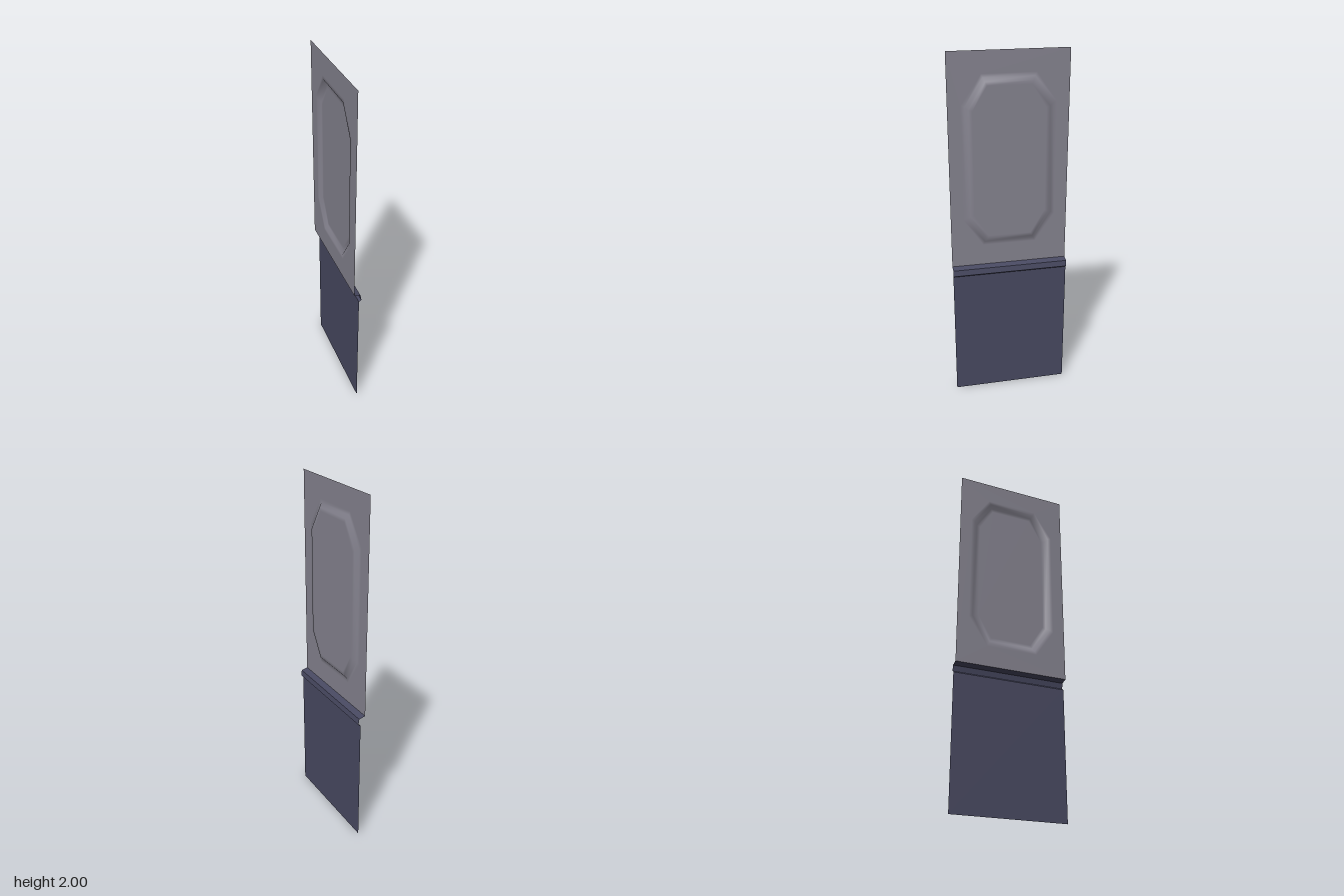
import * as THREE from 'three';

const HALF = 0.33; // half length along z
const BACK = -0.021, RAISED = -0.005; // x of the sheet and of the raised field
const MID = 1.4; // height of the upper panel's centre

function surface(name, positions, indices, color) {
  const geometry = new THREE.BufferGeometry();
  geometry.setAttribute('position', new THREE.Float32BufferAttribute(positions, 3));
  geometry.setIndex(indices);
  geometry.computeVertexNormals();
  const mesh = new THREE.Mesh(geometry, new THREE.MeshStandardMaterial({ color, side: THREE.DoubleSide }));
  mesh.name = name;
  return mesh;
}

// Sweeps an [x, y] profile, listed top to bottom, along z with hard edges
function strip(name, profile, color) {
  const positions = [], indices = [];
  for (let i = 0; i < profile.length - 1; i++) {
    const a = profile[i], b = profile[i + 1], n = i * 4;
    positions.push(...a, HALF, ...b, HALF, ...b, -HALF, ...a, -HALF);
    indices.push(n, n + 1, n + 2, n, n + 2, n + 3);
  }
  return surface(name, positions, indices, color);
}

// Eight points counter-clockwise as seen from +x: half width, half height,
// half length of the level edges and of the upright edges
function octagon(x, w, h, flat, side) {
  return [[w, -side], [w, side], [flat, h], [-flat, h], [-w, side], [-w, -side], [-flat, -h], [flat, -h]]
    .map(([u, v]) => [x, MID + v, -u]);
}

// Sheet with a raised, bevelled eight-sided field
function upperPanel(color) {
  const rings = [
    octagon(BACK, HALF, 0.6, HALF, 0.6),
    octagon(BACK, 0.26, 0.48, 0.15, 0.32),
    octagon(BACK, 0.24, 0.46, 0.14, 0.31),
    octagon(RAISED, 0.22, 0.44, 0.13, 0.3),
    octagon(RAISED, 0.2, 0.42, 0.12, 0.29),
  ];
  const positions = rings.flat(2), indices = [];
  for (let r = 0; r < rings.length - 1; r++) {
    for (let i = 0; i < 8; i++) {
      const j = (i + 1) % 8, a = r * 8 + i, b = r * 8 + j;
      indices.push(a, b, b + 8, a, b + 8, a + 8);
    }
  }
  // Flat centre of the field
  const last = (rings.length - 1) * 8;
  for (let i = 1; i < 7; i++) indices.push(last, last + i, last + i + 1);
  return surface('upperPanel', positions, indices, color);
}

export function createModel() {
  const group = new THREE.Group();
  group.name = 'wallPanel';
  group.add(upperPanel(0x85838f));
  // Rail: sloped ledge, leaning front and undercut back to the lower panel
  group.add(strip('rail', [[BACK, 0.8], [0.016, 0.79], [0.021, 0.757], [0.007, 0.747]], 0x484961));
  group.add(strip('lowerPanel', [[0.007, 0.747], [0.007, 0]], 0x484961));
  return group;
}
